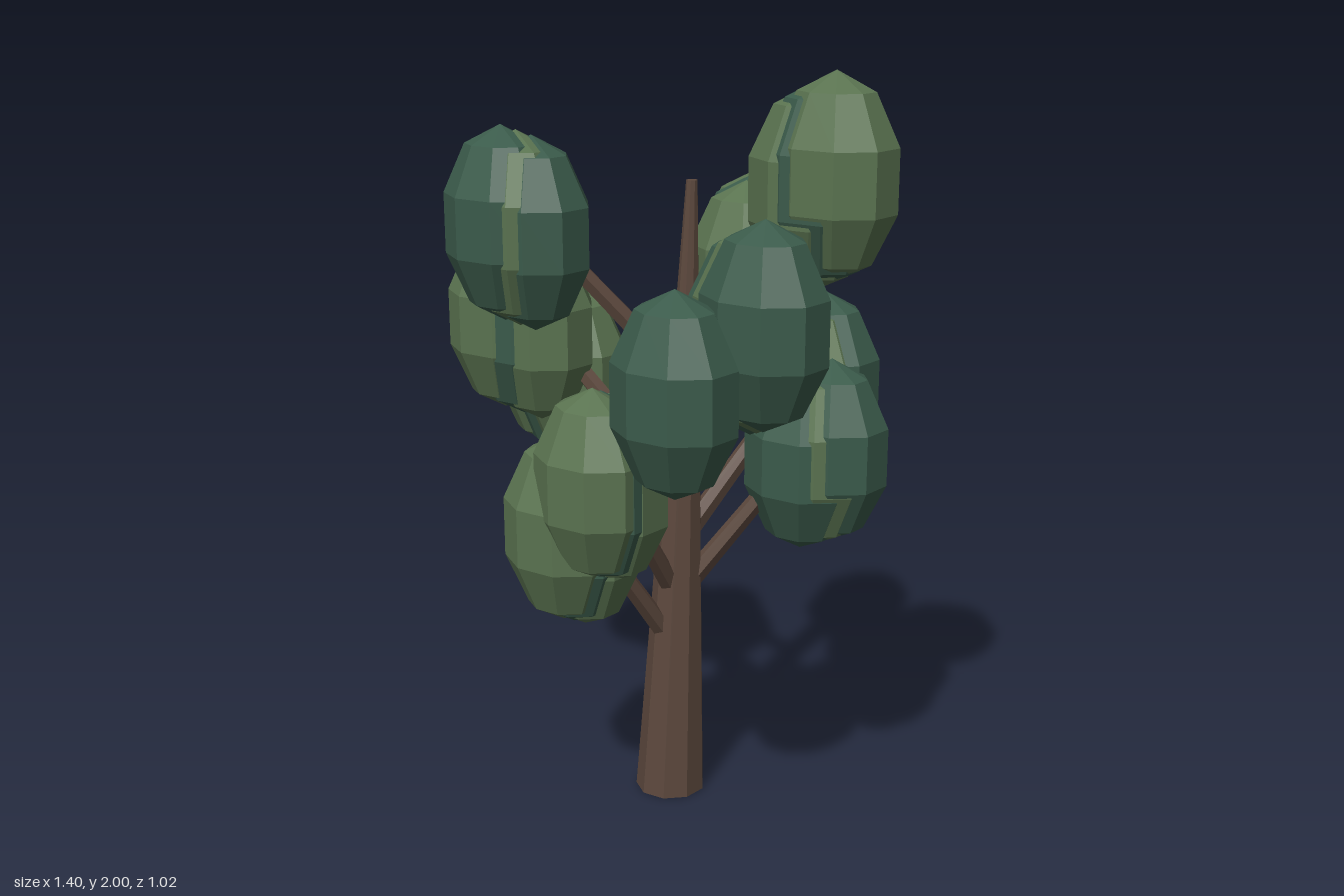
import * as THREE from 'three';

// Split the faces so that every facet is shaded flat
function faceted(geometry) {
  const g = geometry.index ? geometry.toNonIndexed() : geometry;
  g.computeVertexNormals();
  return g;
}

// Tapered rod between two points
function rod(from, to, r0, r1, sides, material, name) {
  const dir = to.clone().sub(from);
  const mesh = new THREE.Mesh(faceted(new THREE.CylinderGeometry(r1, r0, dir.length(), sides)), material);
  mesh.position.copy(from).addScaledVector(dir, 0.5);
  mesh.quaternion.setFromUnitVectors(new THREE.Vector3(0, 1, 0), dir.normalize());
  mesh.name = name;
  return mesh;
}

export function createModel() {
  const bark = new THREE.MeshStandardMaterial({ color: 0x5c483d });
  bark.name = 'bark brown';
  const light = new THREE.MeshStandardMaterial({ color: 0x5a7350 });
  light.name = 'light leaf green';
  const dark = new THREE.MeshStandardMaterial({ color: 0x3b5b4b });
  dark.name = 'dark leaf green';

  const tree = new THREE.Group();
  tree.name = 'tree';

  // Slightly leaning trunk
  const base = new THREE.Vector3(-0.015, 0, 0.012);
  const tip = new THREE.Vector3(0.017, 1.7, -0.035);
  const trunkGeo = new THREE.CylinderGeometry(0.015, 0.096, 1.7, 9);
  trunkGeo.translate(0, 0.85, 0);
  const p = trunkGeo.attributes.position;
  for (let i = 0; i < p.count; i++) {
    const t = p.getY(i) / 1.7;
    p.setX(i, p.getX(i) + base.x + (tip.x - base.x) * t);
    p.setZ(i, p.getZ(i) + base.z + (tip.z - base.z) * t);
  }
  const trunk = new THREE.Mesh(faceted(trunkGeo), bark);
  trunk.name = 'trunk';
  tree.add(trunk);

  // Foliage ball: nine sides, five bands, stretched upward
  const profile = [];
  for (let i = 0; i <= 5; i++) {
    const a = (i / 5) * Math.PI;
    profile.push(new THREE.Vector2(i % 5 ? Math.sin(a) : 0, -Math.cos(a)));
  }
  const ballGeo = new THREE.LatheGeometry(profile, 9);
  ballGeo.scale(0.176, 0.25, 0.146);
  const ball = faceted(ballGeo);

  // Clusters: main colour, outer ball centre, inner ball centre
  const clusters = [
    [light, [-0.02, 0.84, 0.36], [-0.01, 0.815, 0.3]],
    [dark, [-0.54, 0.86, -0.255], [-0.415, 0.815, -0.205]],
    [dark, [0.265, 0.99, -0.305], [0.215, 0.965, -0.25]],
    [light, [0.1, 0.985, 0.345], [0.09, 0.96, 0.285]],
    [light, [-0.53, 1.14, 0.045], [-0.41, 1.12, 0.04]],
    [dark, [0.145, 1.14, -0.385], [0.12, 1.115, -0.31]],
    [dark, [0.445, 1.29, 0.36], [0.38, 1.27, 0.305]],
    [light, [-0.48, 1.29, 0.225], [-0.37, 1.27, 0.18]],
    [dark, [0.535, 1.44, 0.17], [0.455, 1.41, 0.14]],
    [light, [-0.08, 1.44, -0.335], [-0.05, 1.42, -0.275]],
    [dark, [-0.25, 1.595, 0.365], [-0.195, 1.57, 0.31]],
    [light, [0.465, 1.75, -0.105], [0.4, 1.715, -0.092]],
  ];

  for (const [main, outer, inner] of clusters) {
    const far = new THREE.Vector3(...outer);
    const near = new THREE.Vector3(...inner);

    // Branch rising from the trunk axis into the foliage
    const start = base.clone().lerp(tip, (far.y - 0.42) / 1.7);
    const end = near.clone().setY(near.y + 0.03);
    tree.add(rod(start, end, 0.03, 0.022, 6, bark, 'branch'));

    // Three overlapping balls, the middle one in the other green
    const cluster = new THREE.Group();
    cluster.name = 'foliageCluster';
    const other = main === light ? dark : light;
    [main, other, main].forEach((material, i) => {
      const mesh = new THREE.Mesh(ball, material);
      mesh.position.lerpVectors(far, near, i / 2);
      mesh.name = 'foliage';
      cluster.add(mesh);
    });
    tree.add(cluster);
  }
  return tree;
}
